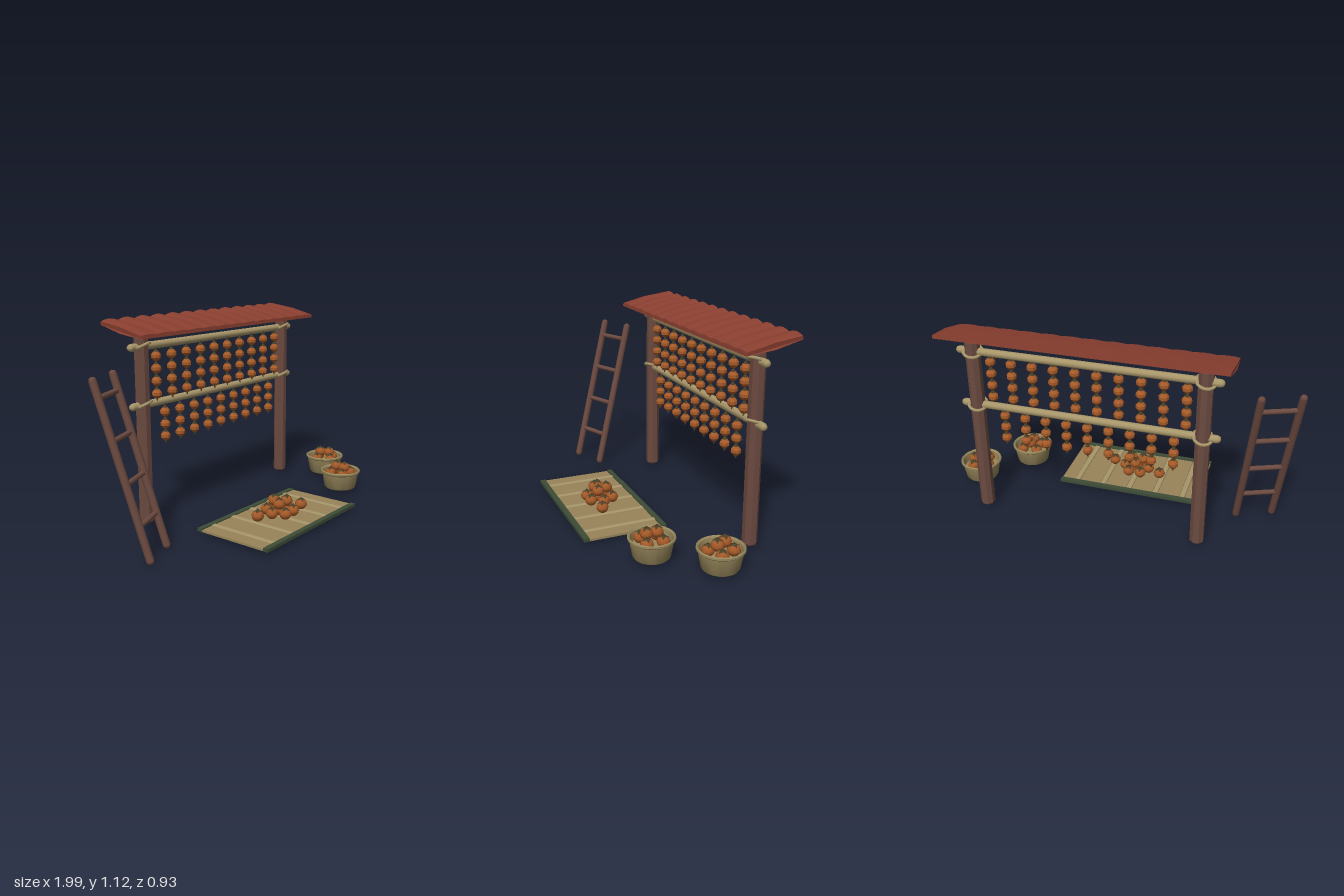
import * as THREE from 'three';
import { toCreasedNormals } from 'three/addons/utils/BufferGeometryUtils.js';

const material = (name, color, side = THREE.FrontSide) => {
  const m = new THREE.MeshStandardMaterial({ color, side });
  m.name = name;
  return m;
};

export function createModel() {
  const wood = material('darkWood', 0x6b4a40);
  const tile = material('redRoof', 0x8a3f30);
  const bamboo = material('bamboo', 0xa8966a);
  const matting = material('matting', 0x99845a);
  const wicker = material('wicker', 0x95855a, THREE.DoubleSide);
  const orange = material('fruitOrange', 0xa65a28);
  const leaf = material('driedLeaf', 0x4a4028);
  const green = material('greenBinding', 0x3c4c36);

  const model = new THREE.Group();
  model.name = 'fruitDryingRack';
  const V = (x, y, z) => new THREE.Vector3(x, y, z);
  const group = (name, parent = model) => {
    const g = new THREE.Group();
    g.name = name;
    parent.add(g);
    return g;
  };
  const add = (name, geo, mat, parent = model, x = 0, y = 0, z = 0) => {
    const mesh = new THREE.Mesh(geo, mat);
    mesh.name = name;
    mesh.position.set(x, y, z);
    parent.add(mesh);
    return mesh;
  };
  // Round-ended pole between two points
  const pole = (name, a, b, r, mat, parent) => {
    const d = b.clone().sub(a);
    const mesh = add(name, new THREE.CapsuleGeometry(r, d.length() - 2 * r, 2, 10), mat, parent);
    mesh.position.copy(a).add(b).multiplyScalar(0.5);
    mesh.quaternion.setFromUnitVectors(V(0, 1, 0), d.normalize());
    return mesh;
  };
  const lathe = (pts, sides) =>
    new THREE.LatheGeometry(pts.map(([r, y]) => new THREE.Vector2(r, y)), sides);

  const POST_X = [-0.522, 0.712], RACK_Z = -0.315, BAR_Y = [0.98, 0.67];

  // Octagonal posts with slightly chamfered ends
  const postGeo = toCreasedNormals(lathe(
    [[0, 0.022], [0.035, 0.022], [0.04, 0.03], [0.04, 1.035], [0.035, 1.045], [0, 1.045]], 8
  ).rotateY(Math.PI / 8), 0.4);
  POST_X.forEach(x => add('post', postGeo, wood, model, x, 0, RACK_Z));

  // Hanging bars and the tilted rope lashings round the posts
  for (const y of BAR_Y) {
    pole('hangingBar', V(-0.615, y, RACK_Z), V(0.805, y, RACK_Z), 0.021, bamboo, model);
    for (const x of POST_X) {
      const ring = add('ropeLashing', new THREE.TorusGeometry(0.049, 0.009, 6, 16).rotateX(Math.PI / 2),
        bamboo, model, x, y, RACK_Z);
      ring.rotation.set(-0.4, 0, 0.2);
    }
  }

  // Sloping roof: lens section swept along x, with a scalloped upper face
  const section = [ // z, y, scallop depth
    [-0.167, 1.04, 0], [-0.17, 1.062, 0.004], [-0.315, 1.1, 0.008],
    [-0.463, 1.123, 0.012], [-0.466, 1.094, 0], [-0.315, 1.058, 0]];
  const waves = 13, steps = waves * 6, n = section.length, pos = [], idx = [];
  for (let i = 0; i <= steps; i++) {
    const u = i / steps, dip = Math.abs(Math.sin(Math.PI * waves * u)) - 1;
    section.forEach(([z, y, d], j) => {
      const half = j === 2 || j === 5 ? 0.758 : 0.752;
      pos.push(0.095 + (2 * u - 1) * half, y + d * dip, z);
      if (i < steps) {
        const a = i * n + j, b = i * n + (j + 1) % n;
        idx.push(a, a + n, b, a + n, b + n, b);
      }
    });
  }
  for (let k = 1; k < n - 1; k++) {
    const e = steps * n;
    idx.push(0, k, k + 1, e, e + k + 1, e + k);
  }
  const roofGeo = new THREE.BufferGeometry();
  roofGeo.setAttribute('position', new THREE.Float32BufferAttribute(pos, 3));
  roofGeo.setIndex(idx);
  add('roof', toCreasedNormals(roofGeo, 0.5), tile);

  // Strings of peeled fruit
  const driedGeo = toCreasedNormals(lathe(
    [[0, -0.026], [0.014, -0.024], [0.027, -0.008], [0.027, 0.008], [0.014, 0.024], [0, 0.026]], 8), 0.4);
  const knotGeo = new THREE.CylinderGeometry(0.008, 0.014, 0.012, 6);
  const stringRow = (count, x0, top, bottom, heights) => {
    for (let i = 0; i < count; i++) {
      const g = group('fruitString');
      g.position.set(x0 + i * 0.117, 0, -0.302);
      add('cord', new THREE.CylinderGeometry(0.005, 0.005, top - bottom, 6), leaf, g, 0, (top + bottom) / 2);
      heights.forEach((y, k) => {
        add('driedFruit', driedGeo, orange, g, 0, y).rotation.y = i + k * 0.7;
        add('knot', knotGeo, leaf, g, 0, y + 0.029);
      });
    }
  };
  stringRow(10, -0.43, 0.97, 0.68, [0.922, 0.855, 0.787, 0.719]);
  stringRow(9, -0.373, 0.66, 0.437, [0.611, 0.543, 0.476]);

  // Fresh fruit with a four-leaved cap
  const fruitGeo = lathe(
    [[0, -0.028], [0.018, -0.026], [0.031, -0.012], [0.034, 0.002], [0.028, 0.02], [0.014, 0.028], [0, 0.026]], 10);
  const leafGeo = toCreasedNormals(new THREE.ConeGeometry(0.013, 0.028, 4)
    .scale(1, 1, 0.25).rotateX(Math.PI / 2 + 0.4).translate(0, 0.026, 0.017), 0.4);
  const stemGeo = new THREE.CylinderGeometry(0.004, 0.005, 0.014, 6);
  const fruit = (parent, x, y, z, turn) => {
    const g = group('freshFruit', parent);
    g.position.set(x, y, z);
    g.rotation.y = turn;
    add('flesh', fruitGeo, orange, g);
    for (let k = 0; k < 4; k++) add('capLeaf', leafGeo, leaf, g).rotation.y = k * Math.PI / 2;
    add('stem', stemGeo, leaf, g, 0, 0.032);
  };

  // Drying mat with bound edges and cross strips
  const mat = group('dryingMat');
  mat.position.set(-0.037, 0, 0.23);
  add('matSheet', new THREE.BoxGeometry(0.836, 0.012, 0.44), matting, mat, 0, 0.027);
  for (const s of [-1, 1])
    add('boundEdge', new THREE.BoxGeometry(0.84, 0.018, 0.03), green, mat, 0, 0.03, s * 0.216);
  for (let i = -2; i <= 2; i++)
    add('crossStrip', new THREE.CylinderGeometry(0.018, 0.018, 0.402, 8).rotateX(Math.PI / 2).scale(1, 0.3, 1),
      bamboo, mat, i * 0.162, 0.033);

  // Heap of fruit on the mat
  const heap = group('fruitHeap');
  fruit(heap, -0.035, 0.07, 0.228, 0.3);
  for (let k = 0; k < 6; k++) {
    const a = k * Math.PI / 3;
    fruit(heap, -0.035 + 0.073 * Math.cos(a), 0.07, 0.228 + 0.073 * Math.sin(a), k * 0.8);
  }
  for (let k = 0; k < 3; k++) {
    const a = k * Math.PI * 2 / 3 + Math.PI / 2;
    fruit(heap, -0.035 + 0.04 * Math.cos(a), 0.118, 0.228 - 0.04 * Math.sin(a), k + 0.4);
  }
  fruit(heap, -0.185, 0.07, 0.19, 0.5);
  fruit(heap, 0.117, 0.07, 0.265, 1.1);

  // Baskets filled with fruit
  const basketGeo = toCreasedNormals(lathe(
    [[0, 0.022], [0.09, 0.022], [0.096, 0.03], [0.112, 0.115], [0.121, 0.122], [0.121, 0.132],
      [0.115, 0.136], [0.107, 0.128], [0.1, 0.085], [0, 0.085]], 24), 0.6);
  [[0.645, 0.2, 0], [0.873, -0.06, 0.4]].forEach(([x, z, turn]) => {
    const g = group('fruitBasket');
    g.position.set(x, 0, z);
    g.rotation.y = turn;
    add('basket', basketGeo, wicker, g);
    for (let k = 0; k < 4; k++) {
      const a = Math.PI / 4 + k * Math.PI / 2;
      fruit(g, 0.062 * Math.cos(a), 0.115, 0.062 * Math.sin(a), k * 0.9);
    }
    for (const s of [-1, 1]) fruit(g, 0, 0.151, s * 0.028, s * 0.6);
  });

  // Leaning ladder
  const ladder = group('ladder');
  const rails = [
    [V(-0.876, 0, 0.081), V(-0.981, 0.9, -0.167)],
    [V(-0.684, 0, 0.001), V(-0.787, 0.9, -0.247)]];
  rails.forEach(([a, b]) => pole('ladderRail', a, b, 0.02, wood, ladder));
  for (const y of [0.187, 0.39, 0.595, 0.8]) {
    const [a, b] = rails.map(([p, q]) => p.clone().lerp(q, y / 0.9));
    pole('ladderRung', a, b, 0.014, wood, ladder);
  }
  return model;
}
